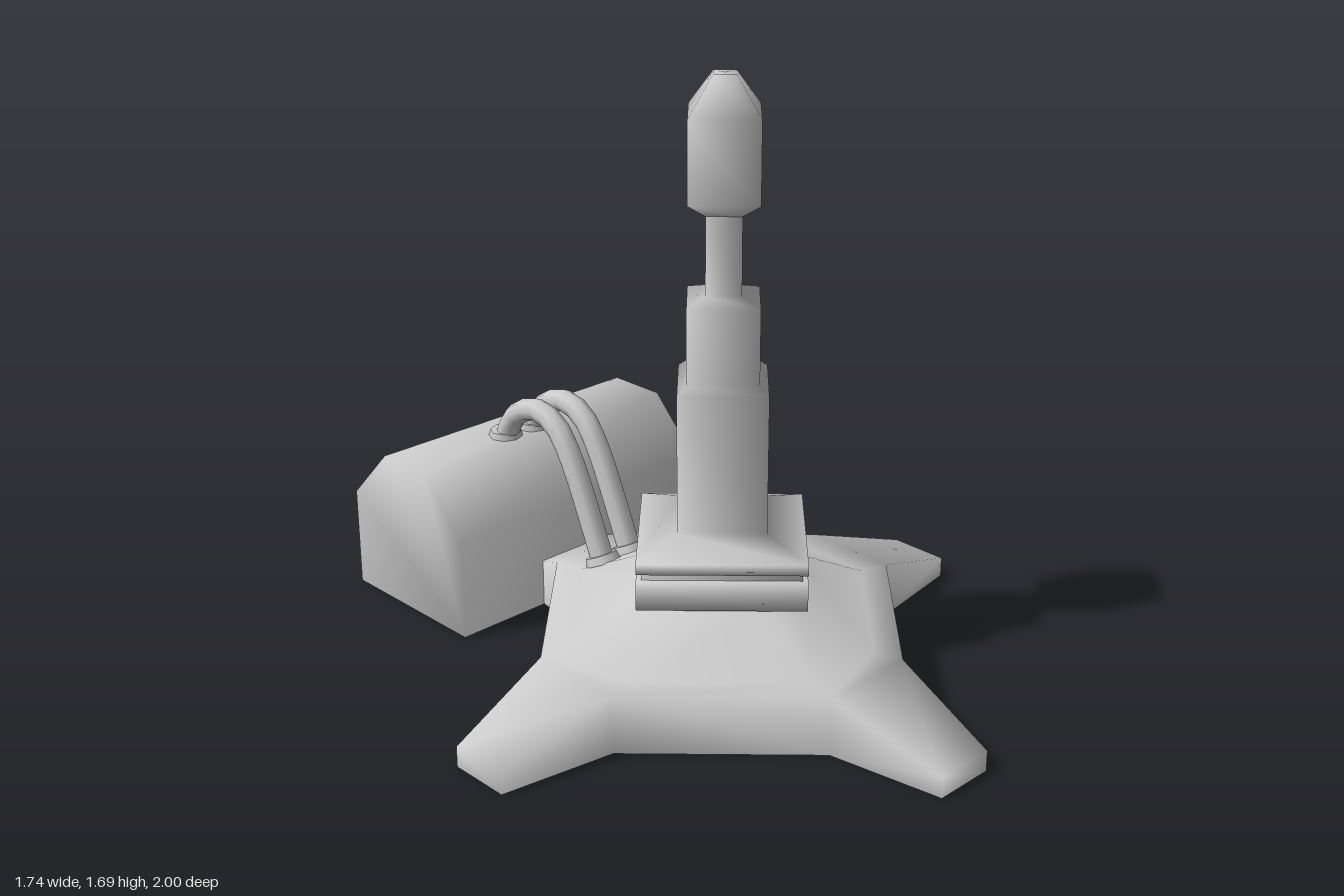
import * as THREE from 'three';
import { mergeVertices } from 'three/addons/utils/BufferGeometryUtils.js';

const material = new THREE.MeshStandardMaterial({ color: 0xcccccc, side: THREE.DoubleSide });
const AXIS_Z = 0.13; // the tower stands slightly forward of the middle

function mesh(name, geometry) {
  const m = new THREE.Mesh(geometry, material);
  m.name = name;
  return m;
}

// Smooth-shaded geometry from a list of convex polygons (arrays of [x, y, z])
function fromPolygons(polygons) {
  const pos = [];
  for (const p of polygons) {
    for (let i = 1; i < p.length - 1; i++) pos.push(...p[0], ...p[i], ...p[i + 1]);
  }
  const g = new THREE.BufferGeometry();
  g.setAttribute('position', new THREE.Float32BufferAttribute(pos, 3));
  const merged = mergeVertices(g, 1e-4);
  merged.computeVertexNormals();
  return merged;
}

// Open-bottomed base shell: four tapering feet around a sloped octagonal body
function baseGeometry() {
  const polys = [];
  const at = (k, u, v, y) => {
    const c = Math.round(Math.cos(k * Math.PI / 2)), s = Math.round(Math.sin(k * Math.PI / 2));
    return [u * c - v * s, y, u * s + v * c];
  };
  const rings = [[0.54, 0.143, 0.17], [0.46, 0.12, 0.17], [0.23, 0.06, 0.285]];
  for (let k = 0; k < 4; k++) {
    const root = (side, y) => at(k, 0.54, side * 0.143, y);
    const tip = (side, y) => at(k, 0.87, side * 0.09, y);
    const next = (y) => at(k + 1, 0.54, -0.143, y);
    // foot top, end and two sides
    polys.push([root(-1, 0.17), root(1, 0.17), tip(1, 0.06), tip(-1, 0.06)]);
    polys.push([tip(-1, 0), tip(-1, 0.06), tip(1, 0.06), tip(1, 0)]);
    polys.push([root(1, 0), tip(1, 0), tip(1, 0.06), root(1, 0.17)]);
    polys.push([root(-1, 0), root(-1, 0.17), tip(-1, 0.06), tip(-1, 0)]);
    // body wall to the next foot
    polys.push([root(1, 0), root(1, 0.17), next(0.17), next(0)]);
    // ledge and slope
    for (let r = 0; r < 2; r++) {
      const [uo, vo, yo] = rings[r], [ui, vi, yi] = rings[r + 1];
      polys.push([at(k, ui, -vi, yi), at(k, ui, vi, yi), at(k, uo, vo, yo), at(k, uo, -vo, yo)]);
      polys.push([at(k, ui, vi, yi), at(k + 1, ui, -vi, yi), at(k + 1, uo, -vo, yo), at(k, uo, vo, yo)]);
    }
  }
  return fromPolygons(polys);
}

// Tank: chamfered cross-section run along x, open underneath
function tankGeometry() {
  const x0 = -0.43, x1 = 0.49;
  const profile = [[-0.49, 0], [-0.49, 0.3], [-0.65, 0.465], [-0.84, 0.465], [-1, 0.3], [-1, 0]];
  const ring = (x) => profile.map(([z, y]) => [x, y, z]);
  const a = ring(x0), b = ring(x1);
  const polys = [a, [...b].reverse()];
  for (let i = 0; i < profile.length - 1; i++) polys.push([a[i], b[i], b[i + 1], a[i + 1]]);
  return fromPolygons(polys);
}

// Four-sided turned part with its corners on the x and z axes
function diamond(name, profile) {
  const m = mesh(name, new THREE.LatheGeometry(profile.map(([r, y]) => new THREE.Vector2(r, y)), 4));
  m.position.z = AXIS_Z;
  return m;
}

// Hose from the base up and over to the tank, with a collar at each end
function hose(x) {
  const group = new THREE.Group();
  group.name = 'hose';
  const points = [[-0.27, 0.17], [-0.42, 0.49], [-0.48, 0.565], [-0.56, 0.592], [-0.665, 0.545], [-0.715, 0.455]]
    .map(([z, y]) => new THREE.Vector3(x, y, z));
  const curve = new THREE.CatmullRomCurve3(points, false, 'centripetal');
  group.add(mesh('hosePipe', new THREE.TubeGeometry(curve, 14, 0.034, 8)));
  const collar = (name, y, z, dir) => {
    const c = mesh(name, new THREE.CylinderGeometry(0.047, 0.052, 0.025, 8));
    c.position.set(x, y, z);
    c.quaternion.setFromUnitVectors(new THREE.Vector3(0, 1, 0), dir);
    group.add(c);
  };
  collar('baseCollar', 0.205, -0.285, curve.getTangent(0));
  collar('tankCollar', 0.472, -0.715, new THREE.Vector3(0, 1, 0));
  return group;
}

export function createModel() {
  const model = new THREE.Group();
  model.name = 'pedestalWithTank';

  const base = mesh('base', baseGeometry());
  base.position.z = AXIS_Z;
  model.add(base);

  // turntable plate, neck in the gap, and stepped tower
  model.add(diamond('turntable', [[0, 0.285], [0.325, 0.285], [0.325, 0.368], [0, 0.368]]));
  model.add(diamond('turntableNeck', [[0.305, 0.368], [0.305, 0.392]]));
  model.add(diamond('tower', [
    [0, 0.39], [0.325, 0.39], [0.325, 0.42], [0.172, 0.462], [0.172, 0.855],
    [0.137, 0.88], [0.137, 1.09], [0.068, 1.11], [0.068, 1.325],
  ]));
  model.add(diamond('towerHead', [
    [0.068, 1.325], [0.133, 1.365], [0.133, 1.59], [0.043, 1.69], [0, 1.69],
  ]));

  model.add(mesh('tank', tankGeometry()));
  for (const x of [-0.075, 0.03]) model.add(hose(x));
  return model;
}
